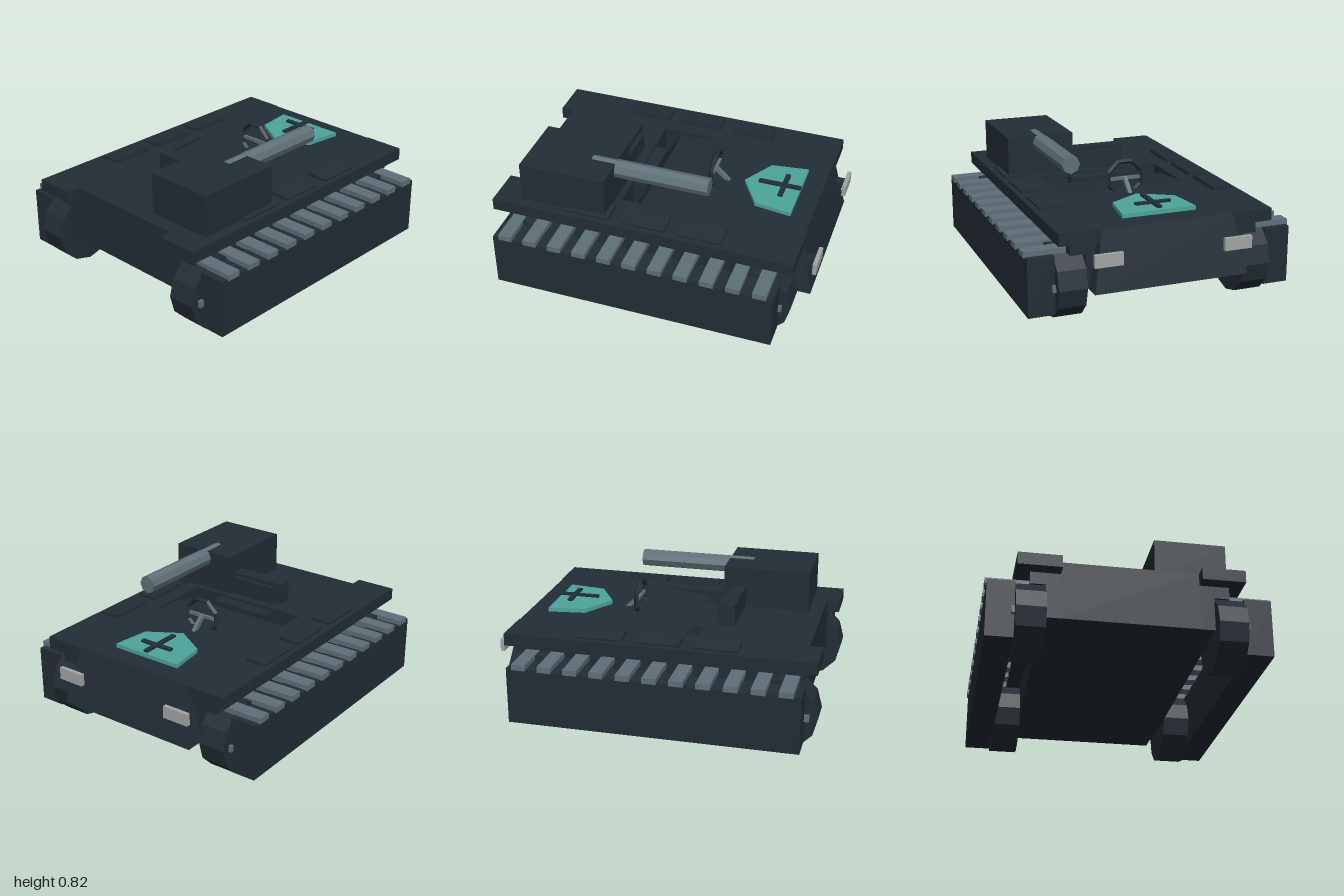
import * as THREE from 'three';

export function createModel() {
  const model = new THREE.Group();
  const mat = (name, color) => {
    const m = new THREE.MeshStandardMaterial({ color, flatShading: true });
    m.name = name;
    return m;
  };
  const dark = mat('dark slate', 0x232d36);
  const steel = mat('steel grey', 0x5f7078);
  const teal = mat('teal', 0x4da59b);
  const lamp = mat('pale grey', 0xa3a6a5);

  const add = (name, geometry, material) => {
    const mesh = new THREE.Mesh(geometry, material);
    mesh.name = name;
    model.add(mesh);
    return mesh;
  };
  // Box given by its limits on each axis
  const block = (name, material, x0, x1, y0, y1, z0, z1) => {
    const mesh = add(name, new THREE.BoxGeometry(Math.abs(x1 - x0), y1 - y0, z1 - z0), material);
    mesh.position.set((x0 + x1) / 2, (y0 + y1) / 2, (z0 + z1) / 2);
    return mesh;
  };
  const outline = (points) => new THREE.Shape(points.map(([a, b]) => new THREE.Vector2(a, b)));

  // Middle of the hull: side profile (z, y) with a sloping footwell
  const profile = outline([
    [-0.89, 0.21], [0.905, 0.21], [0.905, 0.565], [0.24, 0.565], [0.24, 0.4],
    [0.22, 0.4], [0.13, 0.53], [-0.2, 0.565], [-0.89, 0.565],
  ]);
  const hull = new THREE.ExtrudeGeometry(profile, { depth: 0.8, bevelEnabled: false });
  hull.translate(0, 0, -0.4).rotateY(-Math.PI / 2);
  add('hull', hull, dark);

  // Tail flares outward towards the bottom
  const tail = new THREE.BoxGeometry(2, 1, 1);
  const p = tail.attributes.position;
  for (let i = 0; i < p.count; i++) {
    const top = p.getY(i) > 0, back = p.getZ(i) < 0;
    const half = top ? 0.4 : 0.47;
    p.setXYZ(i, Math.sign(p.getX(i)) * half, top ? 0.564 : 0.21,
      back ? (top ? -0.895 : -0.975) : -0.8);
  }
  tail.computeVertexNormals();
  add('tail', tail, dark);

  for (const s of [-1, 1]) {
    // Hull sides and fenders
    block('hullSide', dark, s * 0.4, s * 0.485, 0.21, 0.49, -0.86, 0.904);
    block('upperHullSide', dark, s * 0.485, s * 0.575, 0.415, 0.49, -0.86, 0.904);
    block('fender', dark, s * 0.4, s * 0.655, 0.49, 0.565, -0.9, 0.985);

    // Track with its cross bars
    block('track', dark, s * 0.655, s * 0.815, 0.065, 0.415, -0.83, 0.92);
    for (let i = 0; i < 11; i++) {
      const z = -0.75 + i * 0.1585;
      block('trackBar', steel, s * 0.575, s * 0.825, 0.41, 0.445, z - 0.042, z + 0.042);
    }

    // Wheels and their hub bars
    for (const z of [0.78, -0.68]) {
      const wheel = add('wheel', new THREE.CylinderGeometry(0.22, 0.22, 0.17, 12), dark);
      wheel.rotation.z = Math.PI / 2;
      wheel.position.set(s * 0.57, 0.225, z);
      block('hubBar', steel, s * 0.65, s * 0.675, 0.205, 0.245, z - 0.17, z + 0.17);
    }

    // Tilted deck hatches
    for (const z of [-0.32, 0.03, 0.38]) {
      const hatch = add('hatch', new THREE.BoxGeometry(0.13, 0.025, 0.275), dark);
      hatch.position.set(s * 0.555, 0.571, z);
      hatch.rotation.z = -s * 0.1;
    }

    block('rearLamp', lamp, s * 0.31, s * 0.48, 0.375, 0.45, -1.0, -0.975);
    block('lampBracket', dark, s * 0.37, s * 0.42, 0.39, 0.435, -0.976, -0.9);
  }

  // Gun housing and barrel
  block('gunHousing', dark, 0.16, 0.59, 0.565, 0.82, 0.275, 0.815);
  const barrel = add('barrel', new THREE.CylinderGeometry(0.056, 0.056, 0.735, 8), steel);
  barrel.rotation.x = Math.PI / 2;
  barrel.position.set(0.372, 0.774, 0.06);

  // Seat
  block('seat', dark, -0.205, 0.205, 0.39, 0.55, 0.155, 0.245);
  block('seatBack', dark, -0.205, 0.205, 0.56, 0.7, 0.33, 0.415);
  block('seatPad', dark, -0.155, 0.155, 0.56, 0.675, 0.3, 0.335);

  // Steering wheel and column
  const rim = add('steeringWheel', new THREE.TorusGeometry(0.112, 0.015, 4, 8), dark);
  rim.rotation.z = Math.PI / 8;
  rim.position.set(0, 0.637, -0.232);
  block('steeringSpoke', steel, -0.1, 0.1, 0.627, 0.647, -0.24, -0.224);
  const column = add('steeringColumn', new THREE.BoxGeometry(0.025, 0.025, 0.12), steel);
  column.position.set(0, 0.598, -0.275);
  column.rotation.x = -0.75;

  // Shield plate with a raised cross
  const shield = new THREE.ExtrudeGeometry(
    outline([[-0.23, 0.77], [-0.2, 0.54], [0, 0.42], [0.2, 0.54], [0.23, 0.77]]),
    { depth: 0.03, bevelEnabled: false });
  shield.rotateX(-Math.PI / 2).translate(0, 0.56, 0);
  add('shieldPlate', shield, teal);
  block('crossUpright', dark, -0.015, 0.015, 0.603, 0.616, -0.775, -0.51);
  block('crossBar', dark, -0.11, 0.11, 0.602, 0.615, -0.685, -0.655);

  return model;
}
